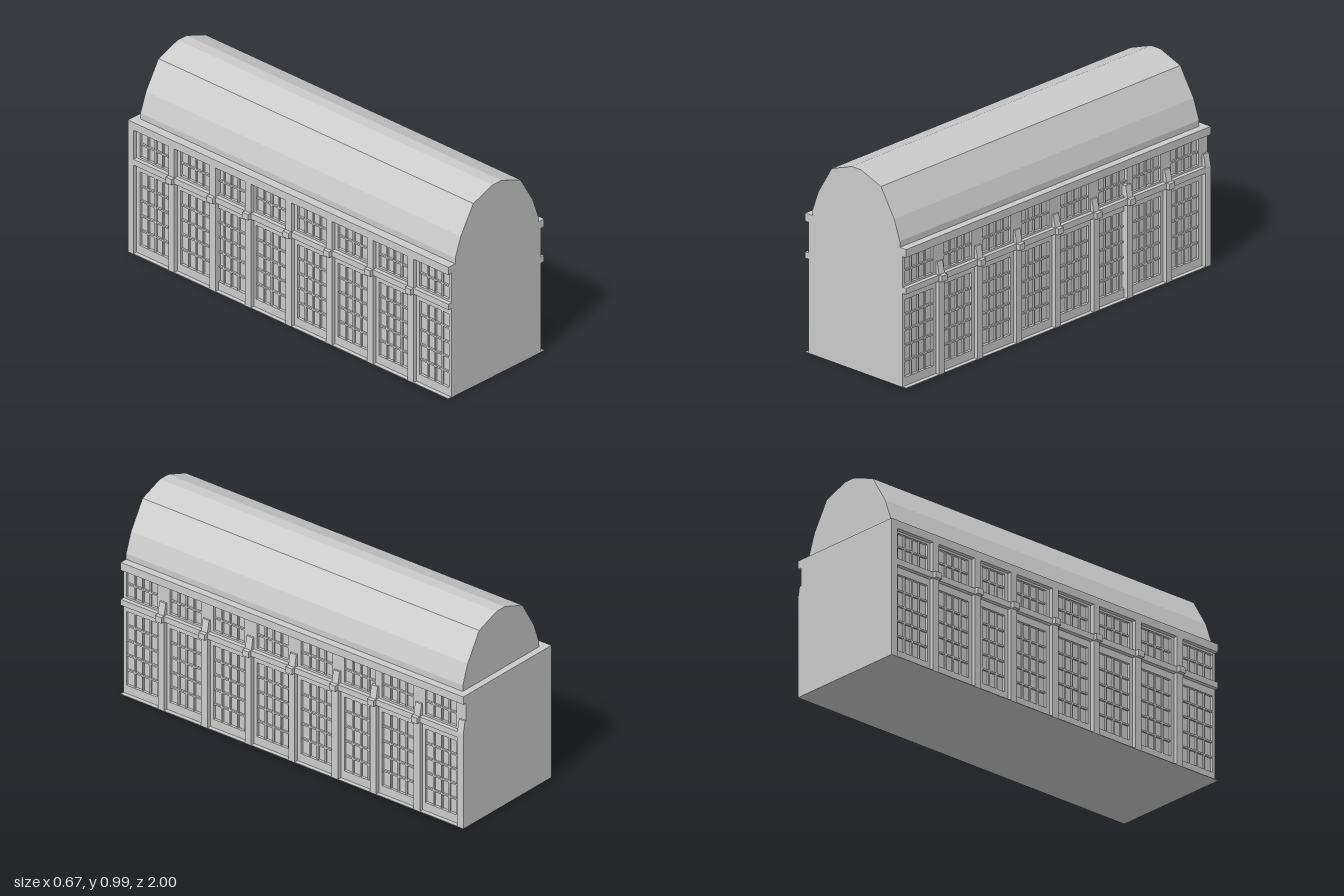
import * as THREE from 'three';

const material = new THREE.MeshStandardMaterial({ color: 0xcccccc, flatShading: true });
const WALL = 0.293, PANE = 0.28, OUT = 0.314;
const BACK = -0.965;
const pierZ = [0.765, 0.512, 0.256, 0.003, -0.25, -0.472, -0.728];
const bayZ = [0.893, 0.638, 0.384, 0.13, -0.128, -0.38, -0.6, -0.852];
const windows = [
  { y0: 0.045, y1: 0.425, cols: 4, rows: 5 },
  { y0: 0.5, y1: 0.63, cols: 4, rows: 2 },
];
const WIN_W = 0.182;

function add(parent, name, geometry) {
  const mesh = new THREE.Mesh(geometry, material);
  mesh.name = name;
  parent.add(mesh);
  return mesh;
}

// Box given by its limits on each axis
function box(parent, name, x0, x1, y0, y1, z0, z1) {
  const g = new THREE.BoxGeometry(Math.abs(x1 - x0), y1 - y0, z1 - z0);
  g.translate((x0 + x1) / 2, (y0 + y1) / 2, (z0 + z1) / 2);
  return add(parent, name, g);
}

// Outline in x and y, extruded from z0 to z1
function profile(parent, name, points, z0, z1) {
  const shape = new THREE.Shape(points.map(([x, y]) => new THREE.Vector2(x, y)));
  const g = new THREE.ExtrudeGeometry(shape, { depth: z1 - z0, bevelEnabled: false });
  g.translate(0, 0, z0);
  return add(parent, name, g);
}

function rect(target, x0, x1, y0, y1) {
  target.moveTo(x0, y0);
  target.lineTo(x1, y0);
  target.lineTo(x1, y1);
  target.lineTo(x0, y1);
  target.closePath();
  return target;
}

// Thin wall skin with a hole for every window
function wallSkin(parent, side) {
  const shape = rect(new THREE.Shape(), -1, -BACK, 0, 0.64);
  for (const z of bayZ) for (const w of windows) {
    shape.holes.push(rect(new THREE.Path(), -z - WIN_W / 2, -z + WIN_W / 2, w.y0, w.y1));
  }
  const g = new THREE.ExtrudeGeometry(shape, { depth: WALL - PANE, bevelEnabled: false });
  g.rotateY(Math.PI / 2);
  g.translate(side > 0 ? PANE : -WALL, 0, 0);
  add(parent, 'windowWall', g);
}

// Glazing bars of one window
function glazing(parent, side, z, { y0, y1, cols, rows }) {
  const t = 0.004, a = side * (PANE - 0.002), b = side * (WALL - 0.004);
  for (let i = 1; i < cols; i++) {
    const c = z - WIN_W / 2 + (WIN_W * i) / cols;
    box(parent, 'verticalBar', a, b, y0, y1, c - t, c + t);
  }
  for (let j = 1; j < rows; j++) {
    const c = y0 + ((y1 - y0) * j) / rows;
    box(parent, 'horizontalBar', a, b, c - t, c + t, z - WIN_W / 2, z + WIN_W / 2);
  }
}

function longSide(side) {
  const group = new THREE.Group();
  group.name = side > 0 ? 'leftFacade' : 'rightFacade';
  wallSkin(group, side);
  for (const z of bayZ) for (const w of windows) glazing(group, side, z, w);
  box(group, 'sillBand', side * PANE, side * OUT, 0.46, 0.49, BACK, 1);
  for (const z of pierZ) {
    // Piers stop with a sloped cap on one side and reach the cornice on the other
    if (side > 0) {
      profile(group, 'pier', [[PANE, 0], [OUT, 0], [OUT, 0.49], [0.302, 0.55], [PANE, 0.55]],
        z - 0.018, z + 0.018);
    } else {
      box(group, 'pier', -OUT, -PANE, 0, 0.64, z - 0.018, z + 0.018);
    }
    box(group, 'pierBlock', side * PANE, side * 0.333, 0.46, 0.49, z - 0.018, z + 0.018);
  }
  return group;
}

export function createModel() {
  const model = new THREE.Group();
  model.name = 'hall';

  box(model, 'core', -PANE, PANE, 0, 0.66, BACK, 1);
  box(model, 'floorSlab', -OUT, OUT, 0, 0.003, BACK, 1);
  box(model, 'cornice', -OUT, OUT, 0.64, 0.68, BACK, 1);

  // Back end wall with the notch above the corner pier
  profile(model, 'backWall', [
    [-OUT, 0], [OUT, 0], [OUT, 0.49], [0.302, 0.55], [WALL, 0.55],
    [WALL, 0.64], [OUT, 0.64], [OUT, 0.68], [-OUT, 0.68],
  ], -1, BACK);

  // Faceted barrel roof
  profile(model, 'roof', [
    [-0.268, 0.67], [0.275, 0.67], [0.275, 0.71], [0.24, 0.808], [0.158, 0.944],
    [0.034, 0.99], [-0.024, 0.99], [-0.15, 0.944], [-0.232, 0.808], [-0.268, 0.71],
  ], BACK, 1);

  model.add(longSide(1), longSide(-1));
  return model;
}
